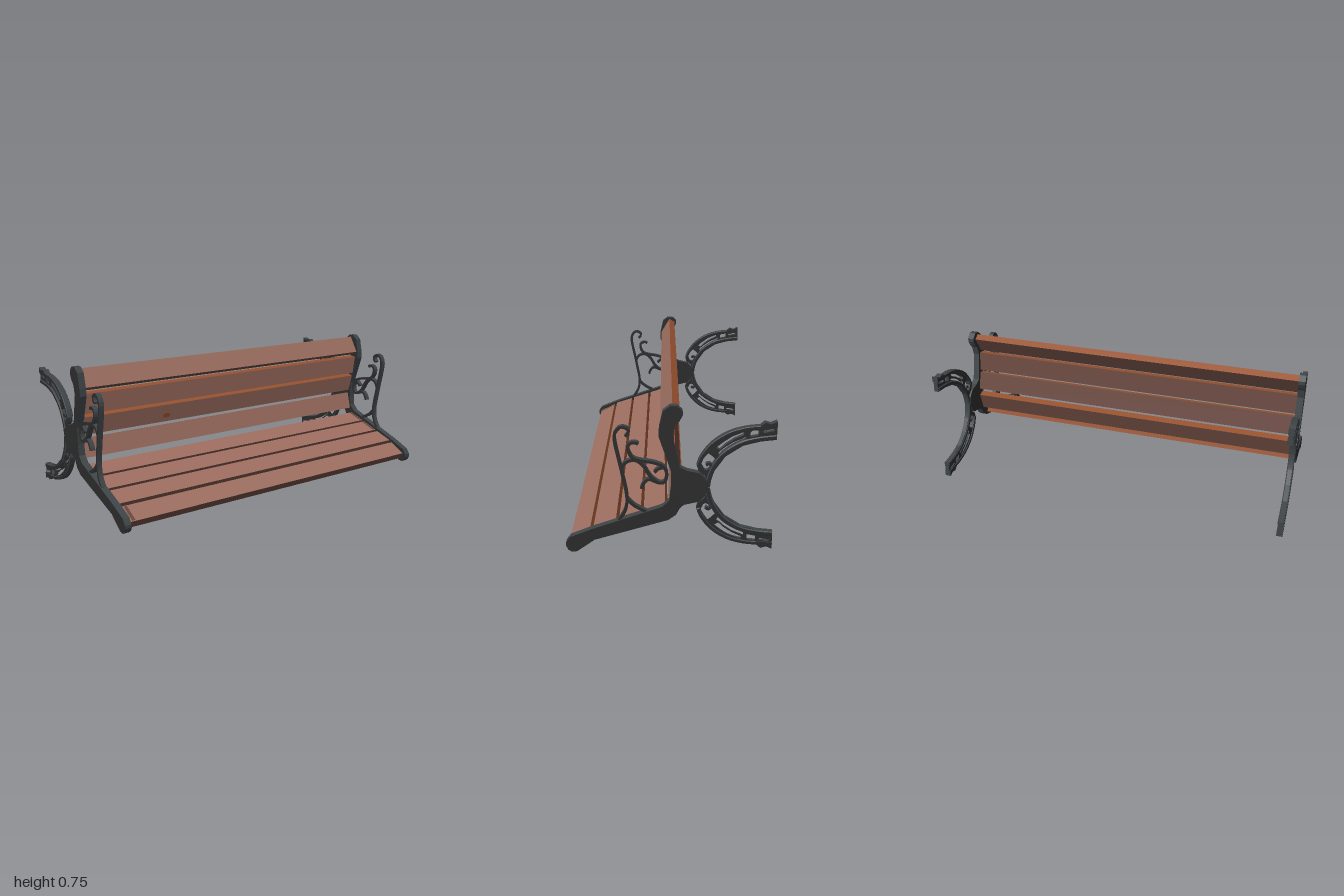
import * as THREE from 'three';

function material(name, color) {
  const m = new THREE.MeshStandardMaterial({ color });
  m.name = name;
  return m;
}
const ironSide = material('black iron', 0x2b2b2b);
const ironRim = material('slate iron', 0x3e4447);
const wood = material('wood face', 0x9d6e60);
const woodEdge = material('orange wood edge', 0x96512f);
const woodDark = material('dark wood underside', 0x68473e);

const MID = 0.341; // height of the horseshoe's axis of symmetry
const THICK = 0.04; // slat thickness
const flip = (pts) => pts.map(([z, y]) => [z, 2 * MID - y]);
const vecs = (pts) => pts.map(([z, y]) => new THREE.Vector2(z, y));

// Extrudes a (z, y) outline along x, centred on x = 0: black flats, slate rims
function plate(name, outline, depth, holes = [], bevel = 0) {
  const shape = new THREE.Shape(vecs(outline));
  holes.forEach((h) => shape.holes.push(new THREE.Path(vecs(h))));
  const geo = new THREE.ExtrudeGeometry(shape, {
    depth: depth - 2 * bevel, bevelEnabled: bevel > 0, bevelSize: bevel,
    bevelThickness: bevel, bevelOffset: -bevel, bevelSegments: 1,
  });
  geo.translate(0, 0, bevel - depth / 2);
  geo.rotateY(-Math.PI / 2);
  const mesh = new THREE.Mesh(geo, [ironSide, ironRim]);
  mesh.name = name;
  return mesh;
}

// Flat bar of constant width following a smooth (z, y) path
function ribbon(name, path, width, depth, bevel = 0) {
  const curve = new THREE.CatmullRomCurve3(path.map(([z, y]) => new THREE.Vector3(z, y, 0)));
  const n = path.length * 3;
  const a = [], b = [];
  for (let i = 0; i <= n; i++) {
    const p = curve.getPointAt(i / n), t = curve.getTangentAt(i / n);
    const ox = -t.y * width / 2, oy = t.x * width / 2;
    a.push([p.x + ox, p.y + oy]);
    b.unshift([p.x - ox, p.y - oy]);
  }
  return plate(name, [...a, ...b], depth, [], bevel);
}

// Seat and back bearer
const FRAME = [
  [0.47, 0], [0.487, 0.012], [0.497, 0.033], [0.497, 0.05], [0.475, 0.08], [0.363, 0.125], [0.03, 0.24],
  [-0.003, 0.273], [-0.01, 0.33], [-0.01, 0.425], [0.048, 0.6], [0.045, 0.64], [0.027, 0.72],
  [-0.005, 0.745], [-0.037, 0.745], [-0.064, 0.72], [-0.064, 0.7], [-0.048, 0.67], [-0.03, 0.653],
  [-0.016, 0.6], [-0.05, 0.445], [-0.083, 0.427], [-0.144, 0.413], [-0.176, 0.38], [-0.187, 0.34],
  [-0.174, 0.3], [-0.144, 0.267], [-0.072, 0.25], [-0.053, 0.233], [-0.035, 0.198], [0.003, 0.17],
  [0.358, 0.065], [0.444, 0.003],
];

// Upper half of the pierced horseshoe
const WEB = [
  [-0.187, 0.342], [-0.171, 0.398], [-0.139, 0.424], [-0.131, 0.451], [-0.144, 0.491],
  [-0.198, 0.562], [-0.238, 0.594], [-0.278, 0.616], [-0.358, 0.64], [-0.425, 0.648],
  [-0.444, 0.664], [-0.471, 0.656], [-0.5, 0.669], [-0.5, 0.578], [-0.425, 0.57],
  [-0.345, 0.549], [-0.265, 0.496], [-0.206, 0.411], [-0.193, 0.371],
];
const WEB_HOLES = [
  [[-0.219, 0.539], [-0.246, 0.562], [-0.291, 0.594], [-0.348, 0.618], [-0.348, 0.602], [-0.305, 0.582], [-0.265, 0.554], [-0.238, 0.528]],
  [[-0.228, 0.512], [-0.258, 0.54], [-0.3, 0.568], [-0.36, 0.594], [-0.36, 0.582], [-0.305, 0.554], [-0.255, 0.516], [-0.238, 0.496]],
  [[-0.378, 0.616], [-0.388, 0.624], [-0.417, 0.626], [-0.417, 0.6], [-0.376, 0.592]],
  [[-0.43, 0.621], [-0.481, 0.632], [-0.49, 0.622], [-0.44, 0.612]],
  [[-0.152, 0.456], [-0.16, 0.483], [-0.184, 0.512], [-0.203, 0.498], [-0.222, 0.478], [-0.208, 0.455], [-0.19, 0.42], [-0.165, 0.43]],
];
const INNER_RIM = [[-0.183, 0.341], [-0.19, 0.385], [-0.21, 0.44], [-0.256, 0.505], [-0.339, 0.56], [-0.425, 0.582], [-0.499, 0.59]];
const OUTER_RIM = [[-0.14, 0.451], [-0.153, 0.488], [-0.204, 0.556], [-0.281, 0.608], [-0.36, 0.632], [-0.425, 0.639]];
const CURL = [[-0.142, 0.435], [-0.155, 0.422], [-0.178, 0.42], [-0.196, 0.432], [-0.2, 0.448], [-0.188, 0.458], [-0.175, 0.45]];
const TIP = [[-0.422, 0.645], [-0.444, 0.664], [-0.471, 0.656], [-0.5, 0.669], [-0.5, 0.636], [-0.422, 0.629]];

// Armrest scrollwork strokes
const ARMREST = [
  [[0.2, 0.595], [0.188, 0.608], [0.185, 0.625], [0.2, 0.638], [0.222, 0.642], [0.243, 0.622], [0.252, 0.595],
    [0.222, 0.425], [0.198, 0.278], [0.208, 0.217], [0.238, 0.165]],
  [[0.198, 0.278], [0.163, 0.243], [0.105, 0.21]],
  [[0.222, 0.43], [0.203, 0.464], [0.16, 0.477], [0.125, 0.455], [0.083, 0.39], [0.05, 0.364]],
  [[0.142, 0.557], [0.155, 0.565], [0.18, 0.56], [0.19, 0.544], [0.184, 0.51], [0.163, 0.485], [0.07, 0.464],
    [0.03, 0.448], [0.013, 0.424], [0.011, 0.384], [0.024, 0.363], [0.05, 0.363], [0.096, 0.379], [0.123, 0.35], [0.128, 0.331]],
  [[0.02, 0.44], [0.048, 0.433], [0.067, 0.416]],
];

function buildEnd(name, x) {
  const end = new THREE.Group();
  end.name = name;
  end.add(plate('sideFrame', FRAME, 0.036));
  for (const m of [(p) => p, flip]) {
    end.add(
      plate('horseshoeWeb', m(WEB), 0.024, WEB_HOLES.map(m)),
      ribbon('horseshoeInnerRim', m(INNER_RIM), 0.024, 0.034, 0.005),
      ribbon('horseshoeOuterRim', m(OUTER_RIM), 0.018, 0.034, 0.003),
      ribbon('horseshoeCurl', m(CURL), 0.013, 0.024),
      plate('horseshoeTip', m(TIP), 0.034),
    );
  }
  ARMREST.forEach((p) => end.add(ribbon('armrestScroll', p, 0.015, 0.026)));
  end.position.x = x;
  return end;
}

// Plank between the (z, y) middles of its lower and upper edges
function slat(name, [z0, y0], [z1, y1]) {
  const geo = new THREE.BoxGeometry(1.925, Math.hypot(z1 - z0, y1 - y0), THICK);
  const mesh = new THREE.Mesh(geo, [woodEdge, woodEdge, woodEdge, woodDark, wood, woodDark]);
  mesh.name = name;
  mesh.position.set(-0.004, (y0 + y1) / 2, (z0 + z1) / 2);
  mesh.rotation.x = Math.atan2(z1 - z0, y1 - y0);
  return mesh;
}

// Thin mark laid on the visible face of a slat
function mark(name, parent, geo, mat, x, y) {
  const mesh = new THREE.Mesh(geo, mat);
  mesh.name = name;
  mesh.position.set(x, y, THICK / 2 + 0.001);
  parent.add(mesh);
}

export function createModel() {
  const bench = new THREE.Group();
  bench.name = 'bench';
  bench.add(buildEnd('leftEnd', 0.982), buildEnd('rightEnd', -0.982));

  // Back slats, bottom to top
  const back = [
    [[-0.02, 0.25], [-0.047, 0.35]],
    [[-0.04, 0.38], [-0.013, 0.482]],
    [[-0.008, 0.499], [0.008, 0.608]],
    [[0.022, 0.63], [-0.034, 0.724]],
  ].map(([a, b]) => slat('backSlat', a, b));

  // Seat slats, back to front
  const seat = [
    [[0.114, 0.175], [0.012, 0.208]],
    [[0.234, 0.136], [0.13, 0.17]],
    [[0.36, 0.095], [0.25, 0.13]],
    [[0.471, 0.037], [0.374, 0.086]],
  ].map(([a, b]) => slat('seatSlat', a, b));
  bench.add(...back, ...seat);

  // Knot in the back and worn slat ends
  const knot = new THREE.CircleGeometry(0.024, 16).scale(1, 0.6, 1);
  mark('woodKnot', back[1], knot, woodEdge, -0.456, -0.015);
  const wornEnd = new THREE.PlaneGeometry(0.018, 0.1);
  mark('wornEnd', seat[0], wornEnd, woodDark, 0.95, 0);
  mark('wornEnd', seat[1], wornEnd, woodDark, 0.95, 0);
  mark('wornEnd', seat[3], wornEnd, woodDark, -0.936, 0);
  return bench;
}
